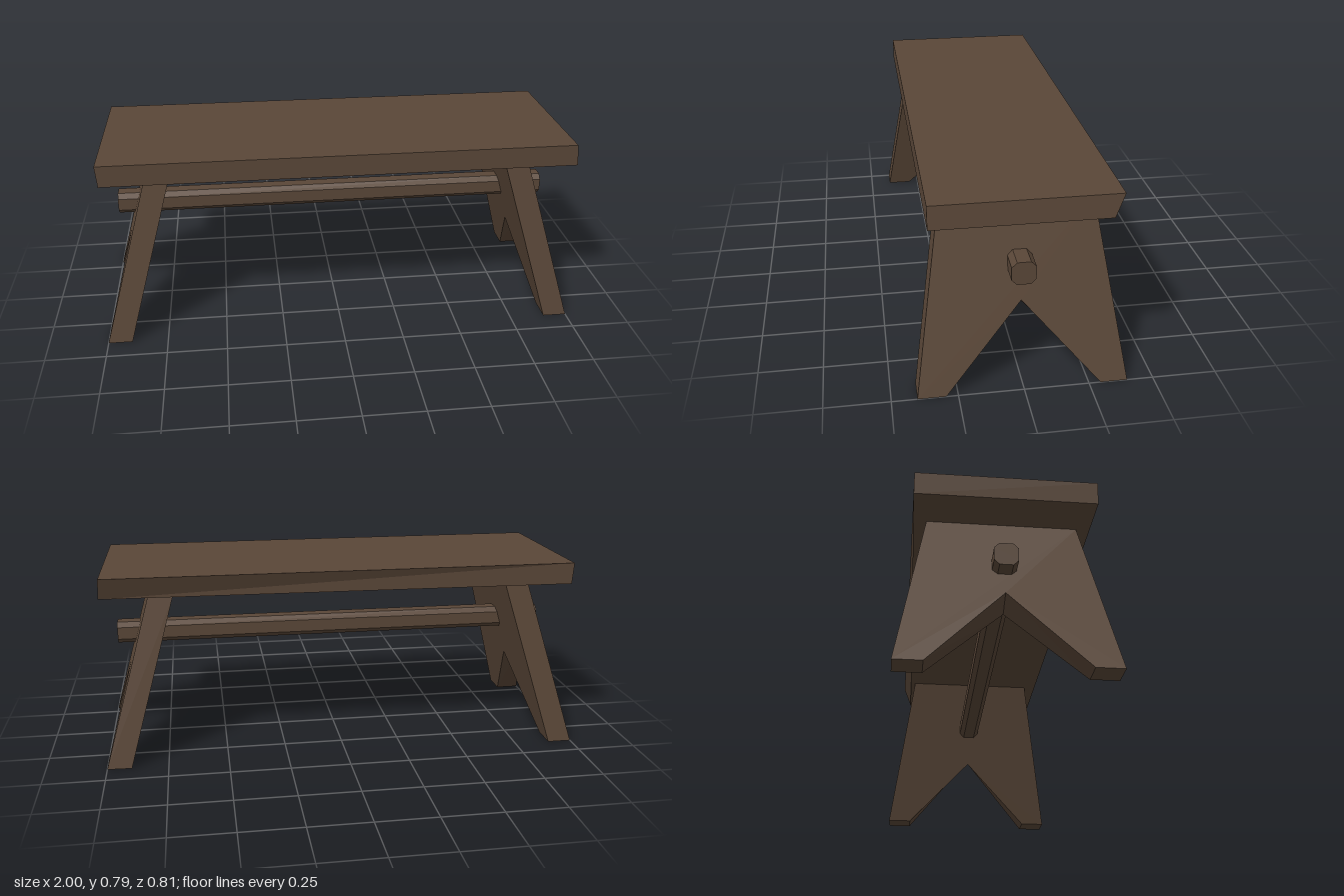
import * as THREE from 'three';

const HEIGHT = 0.79, SEAT_BOTTOM = 0.7, LEG_THICKNESS = 0.1;

// Closed outline from [x, y] points
function outline(points) {
  return new THREE.Shape(points.map(([x, y]) => new THREE.Vector2(x, y)));
}

// Move every vertex by a rule, then refresh the flat normals
function reshape(geometry, rule) {
  const flat = geometry.index ? geometry.toNonIndexed() : geometry;
  const position = flat.attributes.position;
  const v = new THREE.Vector3();
  for (let i = 0; i < position.count; i++) {
    v.fromBufferAttribute(position, i);
    rule(v);
    position.setXYZ(i, v.x, v.y, v.z);
  }
  flat.computeVertexNormals();
  return flat;
}

// Prism along x, with its outline given in z (mirrored) and y
function prismAlongX(points, length) {
  const geometry = new THREE.ExtrudeGeometry(outline(points), { depth: length, bevelEnabled: false });
  return geometry.rotateY(Math.PI / 2);
}

// Splayed end board with a V notch; backTrim narrows the outer face at the back
function legGeometry(backTrim) {
  const board = prismAlongX([
    [-0.403, 0], [-0.295, 0], [0, 0.335], [0.295, 0], [0.403, 0],
    [0.294, SEAT_BOTTOM], [-0.294, SEAT_BOTTOM],
  ], LEG_THICKNESS);
  return reshape(board, (v) => {
    const inner = v.x < LEG_THICKNESS / 2;
    if (inner && Math.abs(v.z) < 0.01) v.y -= 0.042; // notch cut slopes inward
    if (!inner && v.z < -0.1 && Math.abs(v.z + 0.295) > 0.005) v.z += 0.004 * backTrim;
    if (!inner && v.y > 0.6 && v.z < 0) v.z += 0.008 * backTrim;
    v.x += 0.9 - 0.2 * v.y / SEAT_BOTTOM;
  });
}

export function createModel() {
  const wood = new THREE.MeshStandardMaterial({ color: 0x5a4738 });
  wood.name = 'darkWood';
  wood.flatShading = true;

  const model = new THREE.Group();
  model.name = 'bench';
  const add = (name, geometry) => {
    const mesh = new THREE.Mesh(geometry, wood);
    mesh.name = name;
    model.add(mesh);
    return mesh;
  };

  // Seat plank with slightly uneven, hand-sawn ends
  const plank = new THREE.BoxGeometry(1.97, HEIGHT - SEAT_BOTTOM, 0.696);
  plank.translate(0, (HEIGHT + SEAT_BOTTOM) / 2, 0);
  add('seat', reshape(plank, (v) => {
    const top = v.y > 0.75, right = v.x > 0, back = v.z < 0;
    v.x = right ? (top ? 0.987 : 0.995) : (top ? -0.982 : -0.975);
    if (right && back && !top) v.z = -0.312;
  }));

  // Two splayed end boards
  add('leftLeg', legGeometry(1));
  add('rightLeg', legGeometry(0)).rotation.y = Math.PI;

  // Octagonal stretcher passing through both end boards
  const r = 0.046, f = 0.026;
  const rod = prismAlongX([
    [f, -r], [r, -f], [r, f], [f, r], [-f, r], [-r, f], [-r, -f], [-f, -r],
  ], 1.895);
  add('stretcher', rod.translate(-0.945, 0.476, 0));

  return model;
}
